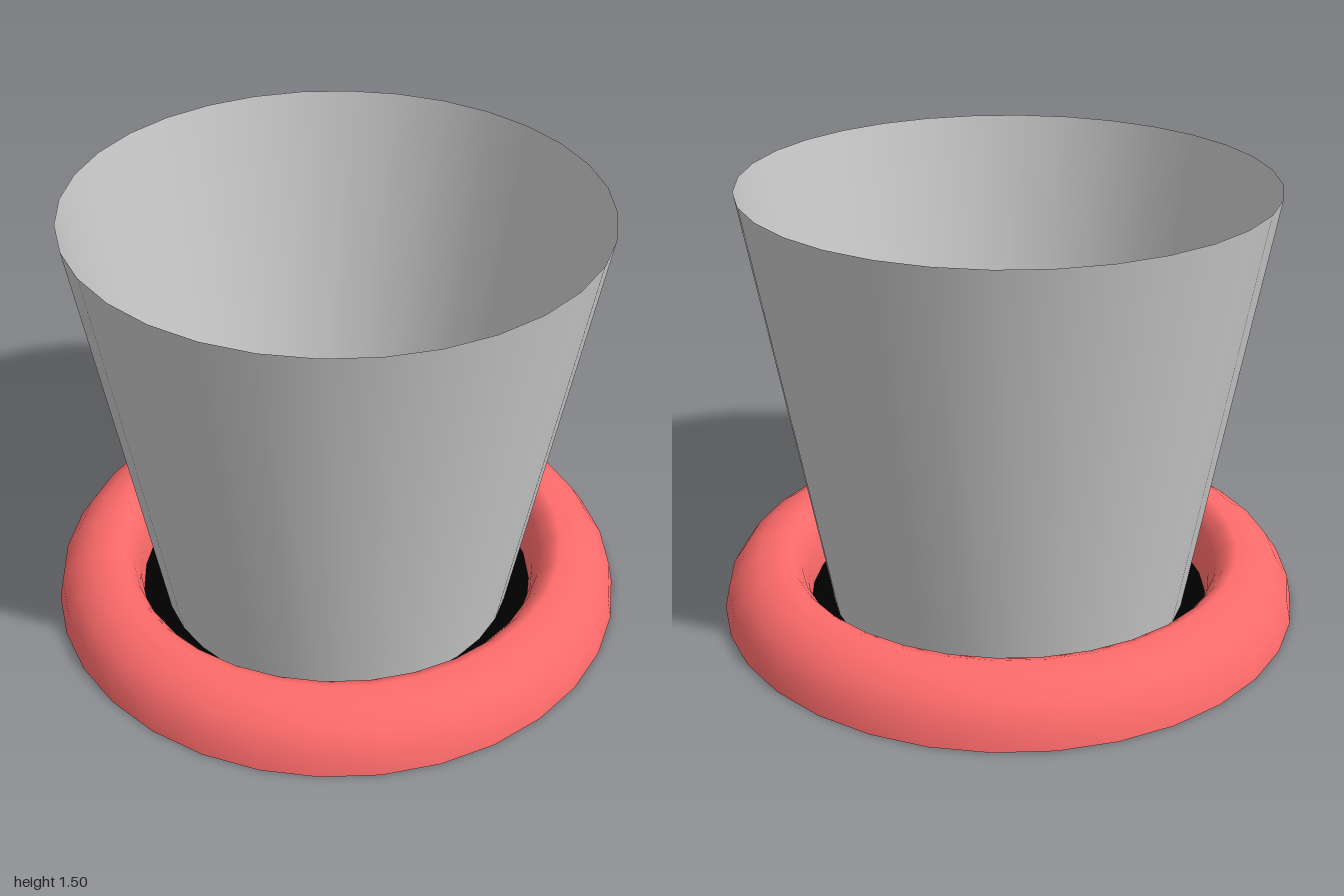
import * as THREE from 'three';

const SEGMENTS = 32;

// Revolve [radius, height] points around the y axis
function lathe(name, points, material) {
  const profile = points.map(([r, y]) => new THREE.Vector2(r, y));
  const mesh = new THREE.Mesh(new THREE.LatheGeometry(profile, SEGMENTS), material);
  mesh.name = name;
  return mesh;
}

// Quarter-ellipse shoulder from the floor at radius r0 up to the crest at radius r1
function shoulder(r0, r1, height, steps = 4) {
  return Array.from({ length: steps + 1 }, (_, i) => {
    const a = (i / steps) * Math.PI / 2;
    return [r1 + (r0 - r1) * Math.cos(a), height * Math.sin(a)];
  });
}

export function createModel() {
  const model = new THREE.Group();
  model.name = 'pottedSaucer';

  const red = new THREE.MeshStandardMaterial({ color: 0xff6b6b, side: THREE.DoubleSide });
  const black = new THREE.MeshStandardMaterial({ color: 0x000000, side: THREE.DoubleSide });
  const grey = new THREE.MeshStandardMaterial({ color: 0xcccccc, side: THREE.DoubleSide });

  // Saucer rim: rounded outside, steeper towards the groove
  const rim = [...shoulder(1, 0.8, 0.2), ...shoulder(0.7, 0.8, 0.2).reverse().slice(1)];
  model.add(lathe('saucerRim', rim, red));

  // Raised pad inside the pot, with a rounded edge
  model.add(lathe('saucerPad', [...shoulder(0.61, 0.5, 0.2), [0.25, 0.2], [0, 0.2]], red));

  // Dark underside, also seen as the floor of the groove
  const base = new THREE.Mesh(new THREE.CircleGeometry(1, SEGMENTS), black);
  base.name = 'saucerBase';
  base.rotation.x = Math.PI / 2;
  model.add(base);

  // Thin open pot wall standing in the groove
  model.add(lathe('potWall', [[0.62, 0.01], [0.88, 1.5]], grey));

  return model;
}
